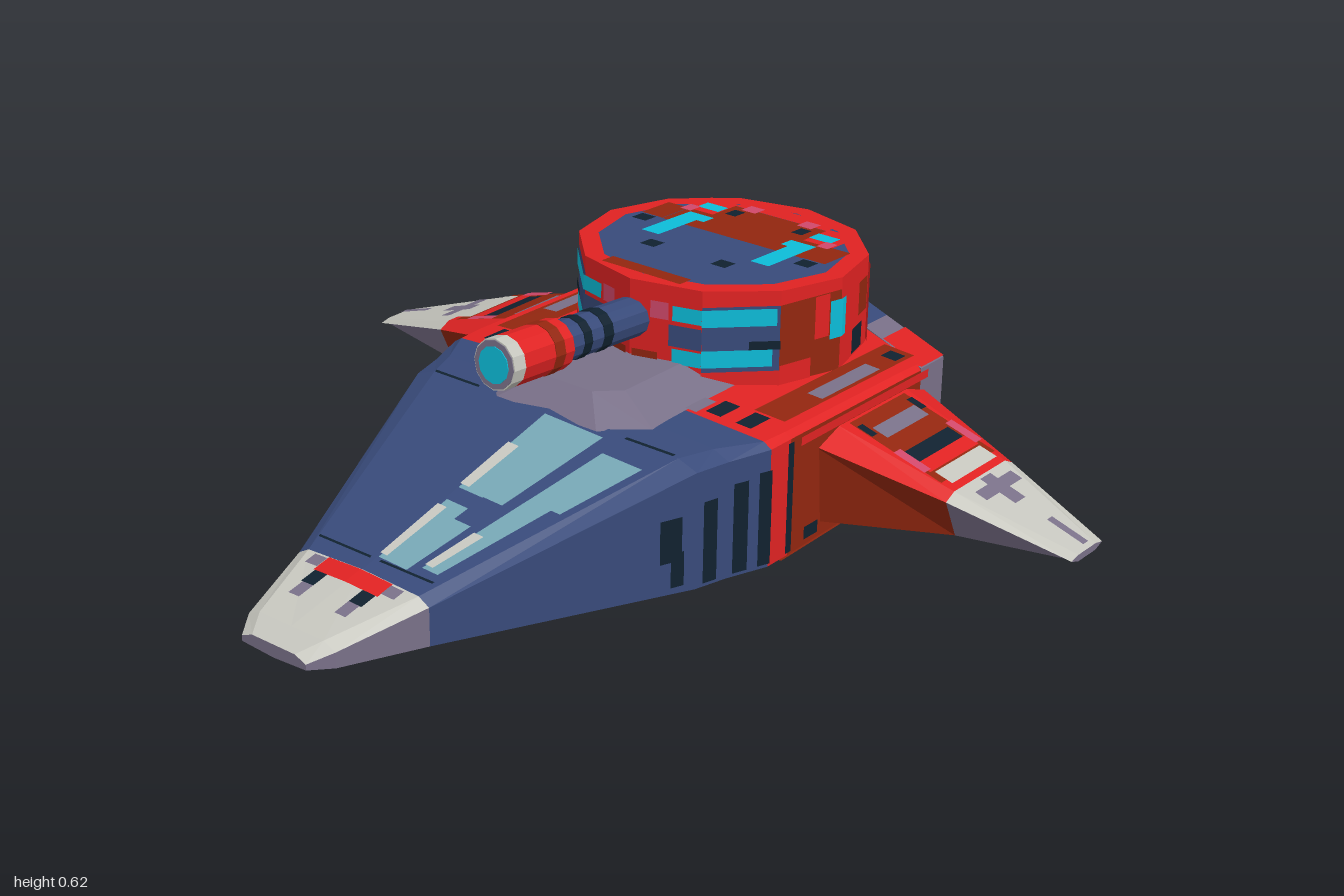
import * as THREE from 'three';

const colours = {
  navy: 0x384a7a, red: 0xe02222, brick: 0x92260f, grey: 0x797088, white: 0xc6c6be,
  dark: 0x10212f, cyan: 0x0cbcd8, glass: 0x76a6b4, pink: 0xd0486a,
};
const M = {};
for (const [name, color] of Object.entries(colours)) {
  M[name] = new THREE.MeshStandardMaterial({ color, flatShading: true, side: THREE.DoubleSide });
  M[name].name = name;
}
const lerp = THREE.MathUtils.lerp;

// Flat faces (lists of points) gathered by colour into one mesh
function faces(name, list) {
  const pos = [], mats = [], geo = new THREE.BufferGeometry();
  for (const key of new Set(list.map((f) => f[0]))) {
    const start = pos.length / 3;
    for (const [k, p] of list) {
      if (k !== key) continue;
      for (let i = 1; i < p.length - 1; i++) pos.push(...p[0], ...p[i], ...p[i + 1]);
    }
    geo.addGroup(start, pos.length / 3 - start, mats.length);
    mats.push(M[key]);
  }
  geo.setAttribute('position', new THREE.Float32BufferAttribute(pos, 3));
  geo.computeVertexNormals();
  const mesh = new THREE.Mesh(geo, mats);
  mesh.name = name;
  return mesh;
}

// Skin closed rings; pick(i, j) names the colour of each face, caps close the ends
function loft(name, rings, pick, caps = []) {
  const list = [], n = rings[0].length;
  for (let i = 0; i < rings.length - 1; i++) {
    for (let j = 0; j < n; j++) {
      const k = (j + 1) % n;
      list.push([pick(i, j), [rings[i][j], rings[i][k], rings[i + 1][k], rings[i + 1][j]]]);
    }
  }
  if (caps[0]) list.push([caps[0], [...rings[0]].reverse()]);
  if (caps[1]) list.push([caps[1], rings[rings.length - 1]]);
  return faces(name, list);
}

// Painted rectangles [colour, u0, v0, u1, v1] laid on a surface; later ones sit slightly higher
function paint(name, map, list) {
  return faces(name, list.map(([c, a, b, d, e], i) => {
    const h = 0.004 + i * 0.0003;
    return [c, [map(a, b, h), map(d, b, h), map(d, e, h), map(a, e, h)]];
  }));
}

// Hull stations: z, half width, keel y, side bottom y, side top y, shoulder x, shoulder y, ridge y
const stations = [
  [0.91, 0.09, 0.15, 0.155, 0.168, 0.06, 0.18, 0.18],
  [0.86, 0.122, 0.142, 0.15, 0.185, 0.09, 0.2, 0.2],
  [0.66, 0.183, 0.11, 0.135, 0.222, 0.155, 0.238, 0.245],
  [0.08, 0.395, 0.012, 0.1, 0.37, 0.345, 0.388, 0.405],
  [0, 0.415, 0, 0.1, 0.372, 0.375, 0.39, 0.408],
  [-0.1, 0.45, 0.016, 0.1, 0.375, 0.43, 0.388, 0.41],
  [-0.17, 0.45, 0.026, 0.1, 0.375, 0.435, 0.388, 0.41],
  [-0.6, 0.45, 0.092, 0.11, 0.372, 0.435, 0.382, 0.41],
  [-0.85, 0.45, 0.13, 0.115, 0.37, 0.435, 0.378, 0.41],
];
function at(z) {
  let i = 0;
  while (i < stations.length - 2 && z < stations[i + 1][0]) i++;
  const a = stations[i], b = stations[i + 1];
  const t = THREE.MathUtils.clamp((z - a[0]) / (b[0] - a[0]), 0, 1);
  return a.map((v, k) => lerp(v, b[k], t));
}
const rearZ = (x) => -0.92 + 0.378 * Math.abs(x);

function hull() {
  const g = new THREE.Group();
  g.name = 'hull';
  const rings = stations.map(([z, w, k, yb, yt, sw, ys, yc], i) => {
    const pts = [[0, k], [w, yb], [w, yt], [sw, ys], [0, yc], [-sw, ys], [-w, yt], [-w, yb]];
    return pts.map(([x, y]) => [x, y, i === stations.length - 1 ? rearZ(x) + 0.07 : z]);
  });
  g.add(loft('hullShell', rings, (i, j) => {
    const under = j === 0 || j === 7, side = j === 1 || j === 6;
    if (i < 2) return under || side ? 'grey' : 'white';
    if (under || i < 5) return 'navy';
    return side && i > 5 ? 'brick' : 'red';
  }, ['grey', 'navy']));

  const top = (u, z, h) => { const s = at(z); return [u * s[5], lerp(s[7], s[6], Math.abs(u)) + h, z]; };
  g.add(paint('canopyGlass', top, [
    ['glass', 0.02, 0.11, 0.5, 0.38], ['glass', 0.04, 0.42, 0.5, 0.62],
    ['glass', 0.62, 0.15, 0.95, 0.34], ['glass', 0.62, 0.34, 0.86, 0.6],
    ['white', 0, 0.22, 0.1, 0.37], ['white', 0.01, 0.44, 0.12, 0.61], ['white', 0.6, 0.47, 0.72, 0.59],
    ['navy', 0.3, 0.38, 0.52, 0.46], ['dark', -0.98, 0.08, 0.98, 0.087], ['dark', -0.96, 0.62, 0.96, 0.626],
  ]));
  const flat = (x, z, h) => top(x / at(z)[5], z, h);
  for (const s of [1, -1]) {
    g.add(paint('nosePaint', (x, z, h) => flat(s * x, z, h), [
      ['red', 0, 0.665, 0.09, 0.71], ['dark', 0.05, 0.71, 0.085, 0.75], ['grey', 0.05, 0.75, 0.08, 0.79], ['grey', 0.09, 0.67, 0.125, 0.7],
    ]));
    g.add(paint('deckPaint', (x, z, h) => flat(s * x, z, h), [
      ['brick', 0.33, -0.69, 0.41, -0.2], ['grey', 0.36, -0.57, 0.4, -0.35], ['dark', 0.26, -0.19, 0.3, -0.12],
      ['dark', 0.34, -0.19, 0.38, -0.12], ['dark', 0.36, -0.67, 0.4, -0.63], ['grey', 0.22, -0.17, 0.25, -0.1],
    ]));
    // Side vents and trim
    g.add(paint('sidePaint', (z, y, h) => [s * (at(z)[1] + h), y, z], [
      ['dark', 0.165, 0.18, 0.115, 0.28], ['dark', 0.14, 0.12, 0.11, 0.2], ['dark', 0.065, 0.11, 0.03, 0.3],
      ['dark', -0.01, 0.11, -0.045, 0.32], ['dark', -0.07, 0.11, -0.1, 0.33], ['dark', -0.155, 0.11, -0.175, 0.37],
      ['red', -0.58, 0.115, -0.68, 0.19], ['red', -0.2, 0.35, -0.68, 0.37], ['dark', -0.22, 0.12, -0.27, 0.15],
    ]));
    // Underside vents, lamps and edge trim
    const bars = [-0.28, -0.36, -0.44, -0.52, -0.6].map((z) => ['dark', 0, z, 0.55, z - 0.035]);
    g.add(paint('undersidePaint', (u, z, h) => { const q = at(z); return [s * u * q[1], lerp(q[2], q[3], u) - h, z]; }, [
      ...bars, ['brick', 0.82, -0.15, 1, -0.67], ['red', 0.9, -0.4, 1, -0.67], ['cyan', 0.66, -0.2, 0.78, -0.36],
      ['cyan', 0.5, 0.22, 0.62, 0.34], ['cyan', 0.6, -0.02, 0.7, 0.08], ['dark', 0.7, -0.45, 0.8, -0.52],
    ]));
    // Stern window frames and recessed panes
    const lip = (x) => 0.42 - 0.1 * x;
    const bar = (c, x0, x1, y0, y1) => g.add(loft('sternFrame', [x0, x1].map((x) => {
      const yt = y1 ?? lip(x), z = rearZ(x);
      return [[s * x, y0, z], [s * x, yt, z], [s * x, yt, z + 0.09], [s * x, y0, z + 0.09]];
    }), () => c, [c, c]));
    bar('navy', 0, 0.24, 0.36); bar('navy', 0, 0.24, 0.13, 0.19); bar('navy', 0.19, 0.24, 0.19, 0.36);
    bar('grey', 0.24, 0.45, 0.34); bar('grey', 0.24, 0.45, 0.115, 0.17);
    bar('grey', 0.24, 0.275, 0.17, 0.34); bar('grey', 0.41, 0.45, 0.17, 0.34);
    g.add(paint('sternPanes', (x, y, h) => [s * x, y, rearZ(x) + 0.07 - h], [
      ['cyan', 0, 0.19, 0.15, 0.34], ['cyan', 0.3, 0.19, 0.4, 0.33], ['dark', 0.15, 0.19, 0.18, 0.27], ['dark', 0.29, 0.17, 0.32, 0.24],
    ]));
    g.add(paint('sternTrim', (x, d, h) => [s * x, lip(x) + h, rearZ(x) + d], [['red', 0.31, 0, 0.45, 0.09]]));
  }
  // Raised fairing ahead of the turret
  const foot = [[0.23, -0.3], [0.23, 0.02], [0.14, 0.1], [-0.14, 0.1], [-0.23, 0.02], [-0.23, -0.3]];
  const crown = [[0.12, -0.3], [0.12, -0.02], [0.07, 0.03], [-0.07, 0.03], [-0.12, -0.02], [-0.12, -0.3]];
  g.add(loft('fairing', [foot.map(([x, z]) => [x, 0.395, z]), crown.map(([x, z]) => [x, 0.443, z])], () => 'grey', [null, 'grey']));
  return g;
}

function wing(s) {
  const g = new THREE.Group();
  g.name = s > 0 ? 'leftWing' : 'rightWing';
  // x, then half depth and height of the top, the widest line and the bottom
  const rings = [
    [0.44, 0.13, 0.347, 0.205, 0.32, 0.19, 0.135],
    [0.73, 0.1, 0.265, 0.13, 0.25, 0.085, 0.155],
    [1, 0.035, 0.18, 0.062, 0.174, 0.035, 0.164],
  ].map(([x, a, ya, b, yb, c, yc]) =>
    [[a, ya], [b, yb], [c, yc], [-c, yc], [-b, yb], [-a, ya]].map(([z, y]) => [s * x, y, z - 0.475]));
  g.add(loft('wingShell', rings, (i, j) => {
    const upper = j === 0 || j > 3;
    return i ? (upper ? 'white' : 'grey') : (upper ? 'red' : 'brick');
  }, [null, 'grey']));
  const y = (x) => (x < 0.73 ? 0.347 - 0.283 * (x - 0.44) : 0.265 - 0.315 * (x - 0.73));
  g.add(paint('wingPaint', (x, z, h) => [s * x, y(x) + h, z], [
    ['brick', 0.46, -0.58, 0.7, -0.37], ['dark', 0.59, -0.56, 0.63, -0.39], ['red', 0.63, -0.57, 0.665, -0.38],
    ['white', 0.67, -0.565, 0.715, -0.39], ['grey', 0.5, -0.56, 0.54, -0.4], ['pink', 0.58, -0.59, 0.66, -0.565],
    ['pink', 0.58, -0.39, 0.66, -0.365], ['dark', 0.48, -0.58, 0.52, -0.56], ['dark', 0.48, -0.39, 0.52, -0.37],
  ]));
  g.add(paint('wingTipPaint', (x, z, h) => [s * x, y(x) + h, z], [
    ['grey', 0.74, -0.5, 0.83, -0.46], ['grey', 0.76, -0.55, 0.79, -0.41], ['grey', 0.9, -0.495, 0.99, -0.475],
  ]));
  return g;
}

function turret() {
  const g = new THREE.Group();
  g.name = 'turret';
  const roof = (z) => 0.62 + (z + 0.18) * 0.036;
  const corner = (k, r) => [r * Math.sin(k * Math.PI / 6), -0.51 + r * Math.cos(k * Math.PI / 6)];
  const ring = (r, y) => Array.from({ length: 12 }, (_, k) => {
    const [x, z] = corner(k, r);
    return [x, y ?? roof(z), z];
  });
  const base = ['red', 'navy', 'brick', 'red', 'brick', 'navy'];
  g.add(loft('turretShell', [ring(0.33, 0.38), ring(0.33, 0.58), ring(0.33), ring(0.285)],
    (i, j) => (i ? 'red' : base[j < 6 ? j : 11 - j]), [null, 'navy']));

  for (const s of [1, -1]) {
    // Wall panels, facet by facet from the front round to the back
    const panels = [
      [['navy', 0.55, 0.48, 1, 0.53], ['cyan', 0.6, 0.54, 1, 0.575], ['cyan', 0.6, 0.44, 1, 0.475], ['pink', 0.3, 0.54, 0.55, 0.58], ['brick', 0.05, 0.41, 0.4, 0.46]],
      [['cyan', 0, 0.535, 0.95, 0.575], ['cyan', 0, 0.44, 0.9, 0.48], ['dark', 0.6, 0.48, 1, 0.5], ['red', 0, 0.39, 1, 0.43]],
      [['red', 0, 0.39, 0.5, 0.44], ['cyan', 0.8, 0.47, 1, 0.56], ['red', 0.55, 0.48, 0.78, 0.58]],
      [['cyan', 0, 0.47, 0.12, 0.56], ['dark', 0.4, 0.4, 0.75, 0.46], ['brick', 0.6, 0.48, 0.9, 0.56]],
      [['red', 0, 0.39, 0.3, 0.58], ['dark', 0.5, 0.44, 0.9, 0.51], ['cyan', 0.4, 0.52, 0.6, 0.57]],
      [['brick', 0, 0.4, 0.25, 0.58], ['dark', 0.4, 0.41, 0.6, 0.46], ['cyan', 0.3, 0.5, 0.5, 0.56]],
    ];
    panels.forEach((list, f) => g.add(paint('wallPanel', (u, y, h) => {
      const a = corner(f, 0.33 + h), b = corner(f + 1, 0.33 + h);
      return [s * lerp(a[0], b[0], u), y, lerp(a[1], b[1], u)];
    }, list)));
    g.add(paint('roofPaint', (x, z, h) => [s * x, roof(z) + h, z], [
      ['brick', 0, -0.73, 0.2, -0.54], ['red', 0, -0.78, 0.13, -0.73], ['red', 0.13, -0.74, 0.21, -0.64], ['brick', 0.2, -0.64, 0.26, -0.54],
      ['brick', 0, -0.255, 0.11, -0.215], ['cyan', 0.11, -0.62, 0.18, -0.58], ['cyan', 0.13, -0.58, 0.18, -0.44],
      ['cyan', 0.13, -0.7, 0.19, -0.66], ['pink', 0.06, -0.75, 0.1, -0.71], ['dark', 0.08, -0.7, 0.11, -0.66],
      ['dark', 0.21, -0.53, 0.25, -0.49], ['dark', 0.08, -0.4, 0.12, -0.36], ['pink', 0.18, -0.66, 0.21, -0.62],
    ]));
  }

  // Gun barrel, stepped along its length
  const gun = new THREE.Group();
  gun.name = 'gunBarrel';
  gun.position.set(0, 0.535, -0.1);
  gun.rotation.x = -0.07;
  for (const [name, c, r, z0, z1] of [
    ['barrelTube', 'navy', 0.046, -0.13, 0.19], ['barrelBand', 'dark', 0.048, 0.03, 0.06], ['barrelCollar', 'dark', 0.048, 0.1, 0.125],
    ['muzzleSleeve', 'red', 0.057, 0.17, 0.325], ['muzzleStripe', 'brick', 0.0585, 0.2, 0.23], ['muzzleRing', 'white', 0.057, 0.325, 0.36],
    ['muzzleFace', 'grey', 0.054, 0.35, 0.362], ['muzzleCore', 'cyan', 0.041, 0.35, 0.364],
  ]) {
    const part = new THREE.Mesh(new THREE.CylinderGeometry(r, r, z1 - z0, 12), M[c]);
    part.name = name;
    part.rotation.x = Math.PI / 2;
    part.position.z = (z0 + z1) / 2;
    gun.add(part);
  }
  g.add(gun);
  return g;
}

export function createModel() {
  const model = new THREE.Group();
  model.name = 'gunship';
  model.add(hull(), wing(1), wing(-1), turret());
  return model;
}
